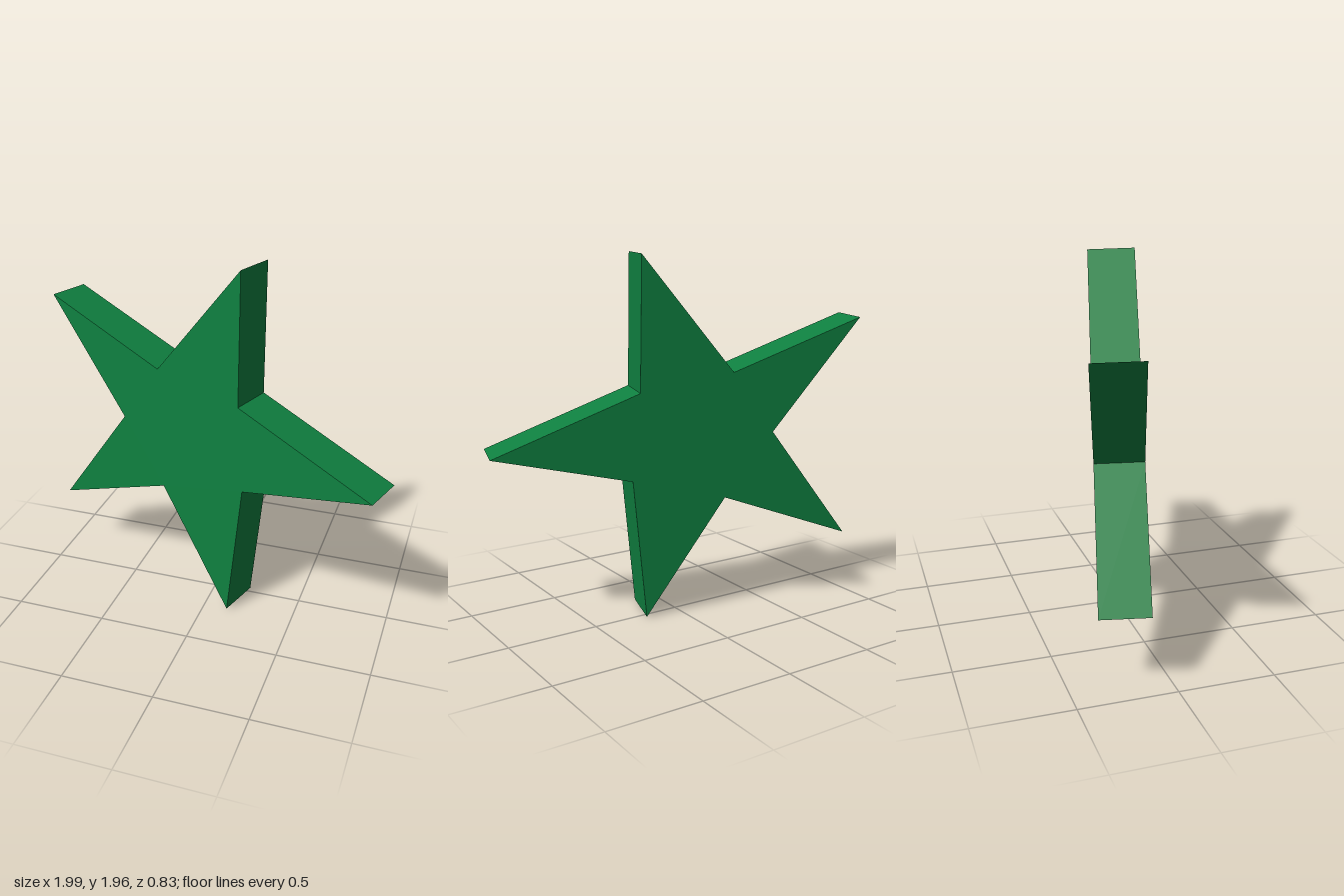
import * as THREE from 'three';

export function createModel() {
  const group = new THREE.Group();
  group.name = 'starOrnament';

  // Outline of the front face: tips and notches, counter-clockwise
  const outline = [
    [0.925, 0.945], [0.18, 1.25], [0.18, 1.96], [-0.31, 1.34], [-1, 1.615],
    [-0.535, 1.005], [-0.97, 0.395], [-0.28, 0.655], [0.135, 0.01], [0.215, 0.78],
  ].map(([x, y]) => new THREE.Vector2(x, y));

  const geometry = new THREE.ExtrudeGeometry(new THREE.Shape(outline), { depth: 1, bevelEnabled: false });
  geometry.translate(0, 0, -1);

  // Lean the slab: the face turns about the vertical, thickness runs along its normal
  const lean = new THREE.Matrix4().makeBasis(
    new THREE.Vector3(1, 0, 0.292),
    new THREE.Vector3(0, 1, -0.03),
    new THREE.Vector3(-0.068, 0.008, 0.243),
  ).setPosition(0, 0, 0.17);
  geometry.applyMatrix4(lean);
  geometry.computeVertexNormals();

  const star = new THREE.Mesh(geometry, new THREE.MeshStandardMaterial({ color: 0x0f8040 }));
  star.name = 'star';
  group.add(star);
  return group;
}
